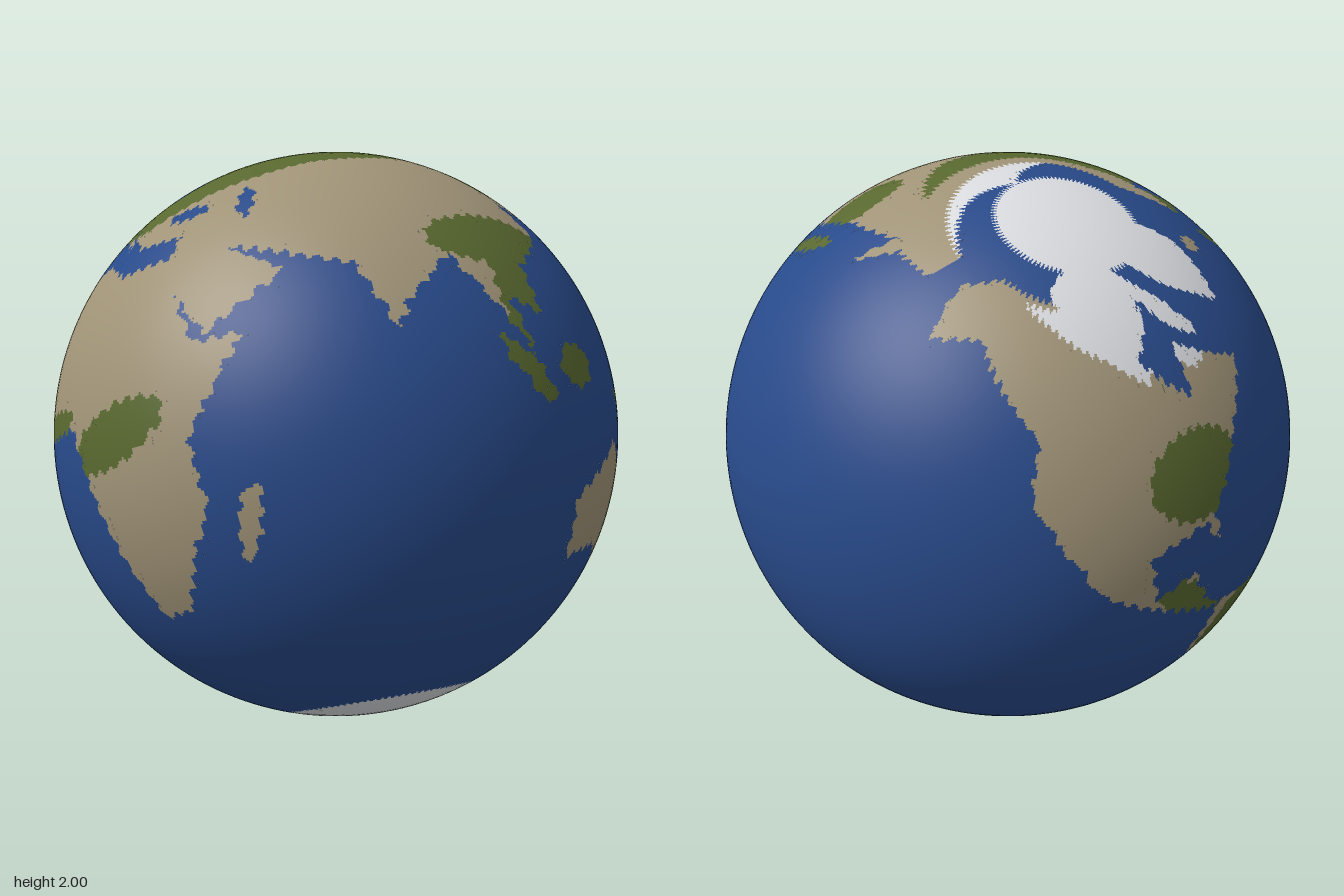
import * as THREE from 'three';

const RAD = Math.PI / 180;
const SEA = 0, DRY = 1, WOOD = 2, ICE = 3;

// An area bounded by a short outline of longitude and latitude pairs
function outline(...p) {
  return (x, y) => {
    let hit = false;
    for (let i = 0, j = p.length - 2; i < p.length; j = i, i += 2) {
      const crosses = (p[i + 1] > y) !== (p[j + 1] > y);
      if (crosses && x < (p[j] - p[i]) * (y - p[i + 1]) / (p[j + 1] - p[i + 1]) + p[i]) hit = !hit;
    }
    return hit;
  };
}

// A turned oval, for islands, lakes and districts
function oval(lon, lat, long, short, angle = 0) {
  const c = Math.cos(angle * RAD), s = Math.sin(angle * RAD);
  return (x, y) => {
    const dx = x - lon, dy = y - lat;
    return Math.hypot((dx * c + dy * s) / long, (dy * c - dx * s) / short) < 1;
  };
}

const eurasia = outline(-9, 37, -9, 43, -1, 44, -4, 48, 9, 54, 22, 55, 29, 60, 23, 65, 14, 56, 5, 60, 14, 67, 26, 71, 68, 69,
  104, 77, 140, 72, 181, 69, 181, 63, 163, 60, 157, 51, 156, 60, 140, 50, 127, 35, 119, 39, 121, 29, 107, 20, 107, 10, 100, 13,
  103, 2, 90, 22, 80, 14, 77, 8, 72, 21, 48, 30, 59, 22, 44, 13, 34, 28, 36, 36, 23, 37, 13, 45, 17, 39, 9, 44, -1, 37);
const africa = outline(-6, 36, -17, 21, -16, 12, -8, 4, 9, 4, 13, -9, 18, -34, 27, -33, 40, -15, 39, -4, 51, 12, 42, 12,
  34, 31, 20, 31, 10, 37);
const northAmerica = outline(-168, 66, -156, 71, -82, 69, -94, 60, -79, 52, -78, 62, -56, 52, -70, 43, -81, 31, -80, 25, -84, 30,
  -97, 27, -95, 18, -87, 21, -83, 14, -78, 8, -105, 20, -123, 38, -124, 48, -148, 60, -162, 56);
const southAmerica = outline(-78, 9, -50, 0, -35, -6, -41, -22, -65, -43, -70, -55, -71, -18, -81, -5);
const australia = outline(114, -23, 116, -34, 131, -32, 147, -39, 153, -28, 142, -11, 140, -17, 131, -12, 122, -18);

// Layers are painted in order; those marked onLand leave the sea alone.
const LAYERS = [
  { kind: DRY, areas: [eurasia, africa, northAmerica, southAmerica, australia,
    oval(47, -19, 7, 2, 70), oval(-18, 65, 5, 2), oval(171, -43, 5, 1, 45)] }, // Madagascar, Iceland, New Zealand
  { kind: SEA, areas: [oval(35, 43, 6, 2), oval(51, 42, 2, 5)] }, // Black and Caspian Seas
  { kind: WOOD, onLand: true, areas: [
    outline(-10, 59, 45, 66, 136, 64, 100, 56, 70, 55, 40, 49, 20, 43, -1, 43), // Europe to eastern Siberia
    oval(128, 47, 13, 7, -20), oval(104, 26, 17, 6), oval(103, 14, 5, 12), // Amur, south China, Indochina
    oval(-4, 6, 13, 3), oval(22, 0, 13, 5, 12), // tropical Africa
    oval(-84, 39, 13, 8), oval(-86, 14, 10, 4, -35), oval(-64, -5, 15, 14)] }, // Americas
  { kind: WOOD, areas: [
    oval(-3, 54, 2, 4), oval(138, 38, 10, 2, 50), // Britain, Japan
    oval(101, 0, 8, 2, -48), oval(114, 1, 5, 4), oval(142, -6, 9, 2, -25)] }, // Sumatra, Borneo, New Guinea
  { kind: ICE, onLand: true, areas: [
    (x, y) => x > 65 && y > 69, // Siberian coast
    outline(-140, 69, -105, 61, -92, 56, -80, 70), oval(-72, 60, 7, 4)] }, // northern Canada
  { kind: ICE, areas: [
    (x, y) => y > 77, oval(-105, 73, 25, 6), oval(-74, 68, 12, 3, -35), // polar sea ice and islands
    outline(-72, 78, -12, 81, -22, 70, -43, 60, -53, 66), // Greenland
    (x, y) => y < 5 * Math.cos((x - 75) * RAD) - 71.5, oval(-63, -69, 4, 6)] }, // Antarctica
];

// Surface kind at a place; a slight waver gives the coasts their raggedness.
function kindAt(x, y) {
  const u = x + 0.6 * Math.sin((97 * y + 40 * x) * RAD), v = y + 0.5 * Math.sin((110 * x - 35 * y) * RAD);
  let kind = SEA;
  for (const { kind: paint, onLand, areas } of LAYERS) {
    if (!(onLand && kind === SEA) && areas.some((holds) => holds(u, v))) kind = paint;
  }
  return kind;
}

export function createModel() {
  const kinds = [['ocean', 0x284a8a], ['dryLand', 0xa09377], ['forest', 0x58682f], ['ice', 0xdadce0]];
  const points = kinds.map(() => []);

  // One curved patch of the globe between two meridians and two parallels
  const corner = (lon, lat) =>
    new THREE.Vector3().setFromSphericalCoords(1, (90 - lat) * RAD, (lon - 13.3) * RAD).toArray();
  const patch = (kind, w, s, e, n) => {
    const a = corner(w, s), b = corner(e, s), c = corner(e, n), d = corner(w, n);
    if (s > -90) points[kind].push(...a, ...b, ...c);
    if (n < 90) points[kind].push(...a, ...c, ...d);
  };

  // Large patches in open areas, fine rows of patches along the borders
  const STEP = 2, PARTS = 4, fine = STEP / PARTS;
  const parts = [...Array(PARTS).keys()];
  for (let s = -90; s < 90; s += STEP) {
    for (let w = -180; w < 180; w += STEP) {
      const rows = parts.map((j) => parts.map((i) => kindAt(w + (i + 0.5) * fine, s + (j + 0.5) * fine)));
      const first = rows[0][0];
      if (rows.flat().every((k) => k === first)) {
        patch(first, w, s, w + STEP, s + STEP);
        continue;
      }
      rows.forEach((row, j) => {
        let start = 0;
        row.forEach((kind, i) => {
          if (row[i + 1] === kind) return;
          patch(kind, w + start * fine, s + j * fine, w + (i + 1) * fine, s + (j + 1) * fine);
          start = i + 1;
        });
      });
    }
  }

  // One mesh per surface kind, all on the same smooth sphere
  const globe = new THREE.Group();
  globe.name = 'globe';
  kinds.forEach(([name, color], k) => {
    const geometry = new THREE.BufferGeometry();
    geometry.setAttribute('position', new THREE.Float32BufferAttribute(points[k], 3));
    geometry.setAttribute('normal', new THREE.Float32BufferAttribute(points[k], 3));
    const material = new THREE.MeshStandardMaterial({ color });
    material.name = name + 'Colour';
    const mesh = new THREE.Mesh(geometry, material);
    mesh.name = name;
    globe.add(mesh);
  });

  // Tilt the axis and stand the globe on the ground
  const north = new THREE.Vector3(-0.376, 0.917, -0.13).normalize();
  const east = new THREE.Vector3().crossVectors(north, new THREE.Vector3(0, 0, 1)).normalize();
  const facing = new THREE.Vector3().crossVectors(east, north);
  globe.quaternion.setFromRotationMatrix(new THREE.Matrix4().makeBasis(east, north, facing));
  globe.position.y = 1;

  const model = new THREE.Group();
  model.name = 'planet';
  model.add(globe);
  return model;
}
